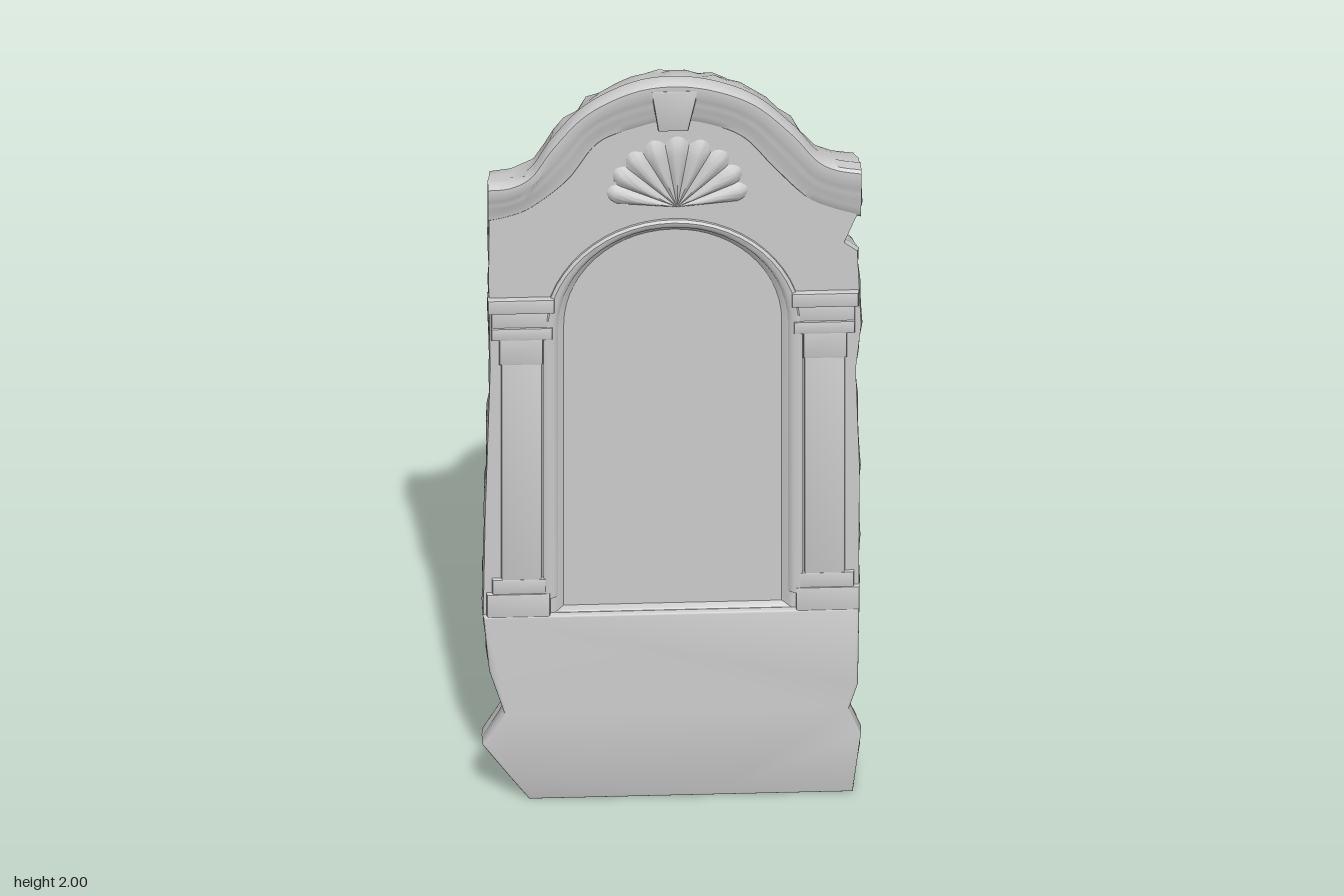
import * as THREE from 'three';
import { toCreasedNormals } from 'three/addons/utils/BufferGeometryUtils.js';

const BACK = -0.055, FACE = 0.028, FLOOR = 0.012;
const V = (x, y) => new THREE.Vector2(x, y);
const pts = a => a.map(([x, y]) => V(x, y));

// silhouette: top moulding edge left to right, then down the right side and up the left
const TOP = pts([[-0.445, 1.72], [-0.39, 1.725], [-0.34, 1.755], [-0.29, 1.835], [-0.21, 1.925], [-0.1, 1.985], [0, 2],
  [0.1, 1.985], [0.2, 1.94], [0.29, 1.855], [0.345, 1.785], [0.39, 1.757], [0.452, 1.745]]);
const CORNICE_INNER = pts([[-0.445, 1.61], [-0.4, 1.62], [-0.34, 1.645], [-0.25, 1.72], [-0.18, 1.82], [-0.09, 1.86], [0, 1.88],
  [0.09, 1.865], [0.17, 1.825], [0.24, 1.74], [0.32, 1.655], [0.39, 1.62], [0.452, 1.6]]);
const RIGHT = pts([[0.458, 1.64], [0.415, 1.535], [0.447, 1.51], [0.456, 1.3], [0.443, 1.18], [0.452, 0.9], [0.45, 0.51]]);
const LOW = pts([[0.447, 0.3], [0.425, 0.23], [0.455, 0.16], [0.435, 0], [0.1, 0], [-0.35, 0], [-0.395, 0.06],
  [-0.46, 0.15], [-0.408, 0.24], [-0.445, 0.36]]);
const LEFT = pts([[-0.46, 0.51], [-0.455, 0.8], [-0.443, 1.2], [-0.447, 1.45]]);

const hash = n => { const s = Math.sin(n * 127.1 + 3.7) * 43758.5453; return s - Math.floor(s); };

// split each edge of a closed outline into short steps
function subdivide(list, step) {
  return list.flatMap((p, i) => {
    const q = list[(i + 1) % list.length], n = Math.max(1, Math.round(p.distanceTo(q) / step));
    return Array.from({ length: n }, (_, k) => p.clone().lerp(q, k / n));
  });
}

const smooth = (list, n) => new THREE.SplineCurve(list).getPoints(n);

// surface from a grid of points; rows run downward, columns to the right
function grid(cols, rows, at) {
  const pos = [], index = [];
  for (let j = 0; j < rows; j++) for (let i = 0; i < cols; i++) pos.push(...at(i, j));
  for (let j = 0; j < rows - 1; j++) for (let i = 0; i < cols - 1; i++) {
    const a = j * cols + i, b = a + cols;
    index.push(a, b, a + 1, b, b + 1, a + 1);
  }
  const g = new THREE.BufferGeometry();
  g.setAttribute('position', new THREE.Float32BufferAttribute(pos, 3));
  g.setIndex(index);
  return toCreasedNormals(g, 0.7);
}

// moulding between two matching curves; profile is [position across, z], ends closed
function band(outer, inner, profile) {
  const n = outer.length;
  return grid(n + 2, profile.length, (i, j) => {
    const k = Math.min(n - 1, Math.max(0, i - 1)), [t, z] = profile[j];
    const p = outer[k].clone().lerp(inner[k], t);
    return [p.x, p.y, i === 0 || i === n + 1 ? 0.01 : z];
  });
}

// round-headed line from left foot over the arch to right foot
function archLine(w, foot, spring, n = 28) {
  const list = [V(-w, foot)];
  for (let i = 0; i <= n; i++) {
    const a = Math.PI * (1 - i / n);
    list.push(V(Math.cos(a) * w, spring + Math.sin(a) * w));
  }
  list.push(V(w, foot));
  return list;
}

export function createModel() {
  const model = new THREE.Group();
  const stone = new THREE.MeshStandardMaterial({ color: 0xcccccc, roughness: 0.9, side: THREE.DoubleSide });
  const add = (name, geometry, parent = model) => {
    const m = new THREE.Mesh(geometry, stone);
    m.name = name;
    parent.add(m);
    return m;
  };
  const block = (name, x0, x1, y0, y1, z, parent, bevel = 0.006) => {
    const s = new THREE.Shape(pts([[x0 + bevel, y0 + bevel], [x1 - bevel, y0 + bevel], [x1 - bevel, y1 - bevel], [x0 + bevel, y1 - bevel]]));
    const g = new THREE.ExtrudeGeometry(s, { depth: z - bevel, bevelThickness: bevel, bevelSize: bevel, bevelSegments: 2 });
    return add(name, toCreasedNormals(g, 0.7), parent);
  };

  // rough broken edge, built as loops from the front to the back
  const outline = subdivide([...TOP, ...RIGHT, ...LOW, ...LEFT], 0.04);
  const layers = [[FACE, 0.004, 0], [0.015, 0, 0.004], [-0.015, 0, 0.012], [-0.04, 0.004, 0.014], [BACK, 0.014, 0.012]];
  const loops = layers.map(([z, inset, rough], j) => outline.map((p, i) => {
    const d = inset + rough * hash(i * 5 + j * 91);
    return new THREE.Vector3(p.x * (1 - d / 0.45), 1 + (p.y - 1) * (1 - (p.y < 0.02 ? d * 0.5 : d)), z);
  }));
  const n = outline.length;
  add('roughEdge', grid(n + 1, loops.length, (i, j) => loops[j][(n - i) % n].toArray()));
  const flat = loop => new THREE.Shape(loop.map(p => V(p.x, p.y)));

  const back = new THREE.ShapeGeometry(flat(loops[4]));
  back.rotateY(Math.PI).scale(-1, 1, 1);
  const ix = back.getIndex();
  for (let i = 0; i < ix.count; i += 3) {
    const a = ix.getX(i);
    ix.setX(i, ix.getX(i + 1));
    ix.setX(i + 1, a);
  }
  back.computeVertexNormals();
  add('back', back).position.z = BACK;

  // face with a sunken round-headed panel
  const rim = archLine(0.285, 0.515, 1.31), sunk = archLine(0.262, 0.525, 1.31);
  const face = flat(loops[0]);
  face.holes.push(new THREE.Path(rim));
  add('face', new THREE.ShapeGeometry(face)).position.z = FACE;
  add('panel', new THREE.ShapeGeometry(new THREE.Shape(sunk))).position.z = FLOOR;
  add('panelEdge', band([...rim, rim[0]], [...sunk, sunk[0]], [[0, FACE], [0.35, 0.025], [0.75, 0.016], [1, FLOOR]]));

  // raised moulding around the panel
  add('archMoulding', band(archLine(0.312, 0.56, 1.3), archLine(0.274, 0.56, 1.31),
    [[0, 0.02], [0.03, 0.034], [0.25, 0.039], [0.6, 0.037], [0.85, 0.031], [1, 0.02]]));

  // curved cornice
  add('cornice', band(smooth(TOP, 72), smooth(CORNICE_INNER, 72),
    [[0, 0.01], [0.01, 0.042], [0.06, 0.049], [0.28, 0.05], [0.38, 0.044], [0.5, 0.042], [0.62, 0.039], [0.78, 0.032], [0.92, 0.03], [1, 0.02]]));

  // keystone breaking the cornice
  const key = new THREE.Shape(pts([[-0.03, 1.875], [0.03, 1.875], [0.052, 1.975], [-0.045, 1.975]]));
  add('keystone', toCreasedNormals(new THREE.ExtrudeGeometry(key,
    { depth: 0.044, bevelThickness: 0.008, bevelSize: 0.008, bevelSegments: 2 }), 0.7));

  // fluted shell fanning out above the arch
  const RIBS = 9, STEPS = RIBS * 8;
  add('shell', grid(STEPS + 1, 8, (i, j) => {
    const u = i / STEPS, r = 1 - j / 7, a = Math.PI * (0.97 - 0.94 * u);
    const rib = Math.abs(Math.sin(u * RIBS * Math.PI));
    const len = (0.165 + 0.03 * Math.sin(a) + 0.014 * rib) * r;
    const z = j === 0 ? 0.02 : FACE + 0.003 + 0.011 * rib * Math.sin(Math.PI * Math.min(1, r * 0.85));
    return [0.01 + Math.cos(a) * len, 1.645 + Math.sin(a) * len, z];
  }));

  // plain plinth
  const plinth = new THREE.Shape([V(0.45, 0.51), ...LOW, V(-0.46, 0.51)].map(p => V(p.x * 0.98, 0.006 + p.y * 0.985)));
  add('plinth', toCreasedNormals(new THREE.ExtrudeGeometry(plinth,
    { depth: 0.034, bevelThickness: 0.009, bevelSize: 0.006, bevelSegments: 3 }), 0.7));

  // pilasters at both sides
  for (const side of [-1, 1]) {
    const p = new THREE.Group();
    p.name = side > 0 ? 'leftPilaster' : 'rightPilaster';
    const b = (name, a, c, y0, y1, z) => block(name, Math.min(side * a, side * c), Math.max(side * a, side * c), y0, y1, z, p);
    b('shaft', 0.315, 0.413, 0.56, 1.25, 0.036);
    b('baseBlock', 0.295, 0.448, 0.5, 0.575, 0.041);
    b('baseFillet', 0.303, 0.435, 0.57, 0.615, 0.038);
    b('neck', 0.312, 0.418, 1.215, 1.3, 0.039);
    b('capitalLower', 0.29, 0.437, 1.285, 1.32, 0.042);
    b('capitalMiddle', 0.296, 0.437, 1.315, 1.365, 0.037);
    b('capitalUpper', 0.285, 0.446, 1.36, 1.4, 0.044);
    model.add(p);
  }
  return model;
}
